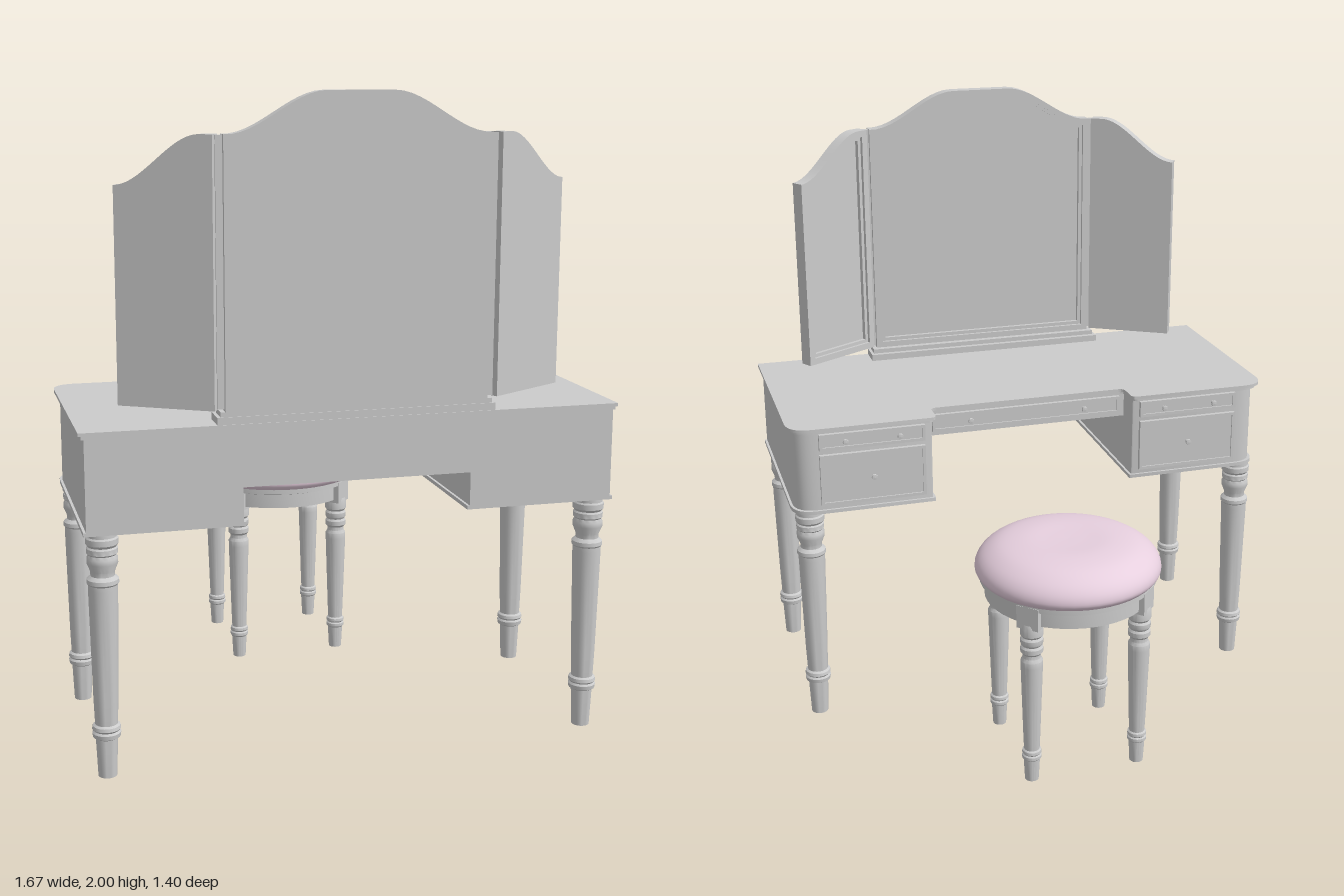
import * as THREE from 'three';
import { toCreasedNormals } from 'three/addons/utils/BufferGeometryUtils.js';

const grey = new THREE.MeshStandardMaterial({ color: 0xcccccc });
const pink = new THREE.MeshStandardMaterial({ color: 0xe6cfde });

function add(parent, name, geo, x = 0, y = 0, z = 0, mat = grey) {
  const m = new THREE.Mesh(geo, mat);
  m.name = name;
  m.position.set(x, y, z);
  parent.add(m);
  return m;
}
const box = (w, h, d) => new THREE.BoxGeometry(w, h, d);
const lathe = (pts, seg = 24) =>
  toCreasedNormals(new THREE.LatheGeometry(pts.map(p => new THREE.Vector2(...p)), seg), 0.6);

// Plan outline (x, z) with rounded corners, extruded downward. Points are [x, z, radius].
function slab(pts, depth) {
  const s = new THREE.Shape();
  const n = pts.length;
  pts.forEach(([x, z, r = 0], i) => {
    const toward = q => {
      const l = Math.hypot(q[0] - x, q[1] - z);
      return [x + (q[0] - x) * r / l, z + (q[1] - z) * r / l];
    };
    const a = toward(pts[(i + n - 1) % n]);
    const b = toward(pts[(i + 1) % n]);
    if (i) s.lineTo(...a); else s.moveTo(...a);
    if (r) s.quadraticCurveTo(x, z, ...b);
  });
  s.closePath();
  const g = new THREE.ExtrudeGeometry(s, { depth, bevelEnabled: false, curveSegments: 8 });
  return toCreasedNormals(g.rotateX(Math.PI / 2), 0.6);
}

const smooth = t => { t = Math.min(1, Math.max(0, t)); return t * t * (3 - 2 * t); };

// Framed mirror leaf with a curved top edge, its glass facing -z
function mirrorLeaf(name, x0, x1, y0, top) {
  const g = new THREE.Group();
  g.name = name;
  const outline = inset => {
    const a = x0 + inset * Math.sign(x1 - x0), b = x1 - inset * Math.sign(x1 - x0);
    const pts = [new THREE.Vector2(a, y0 + inset), new THREE.Vector2(b, y0 + inset)];
    for (let i = 0; i <= 32; i++) {
      const x = b + (a - b) * i / 32;
      pts.push(new THREE.Vector2(x, top(x) - inset));
    }
    return pts;
  };
  const extrude = (s, depth) =>
    toCreasedNormals(new THREE.ExtrudeGeometry(s, { depth, bevelEnabled: false }), 0.6);
  const ring = (o, i) => {
    const s = new THREE.Shape(outline(o));
    s.holes.push(new THREE.Path(outline(i)));
    return s;
  };
  add(g, 'mirrorBack', extrude(new THREE.Shape(outline(0)), 0.022));
  add(g, 'mirrorFrame', extrude(ring(0, 0.022), 0.023), 0, 0, -0.023);
  add(g, 'mirrorInnerFrame', extrude(ring(0.022, 0.034), 0.013), 0, 0, -0.013);
  return g;
}

// Drawer front with raised border and knobs, facing -z
function drawer(parent, x, y, z, w, h, knobs) {
  const g = new THREE.Group();
  g.name = 'drawer';
  g.position.set(x, y, z);
  add(g, 'drawerFront', box(w, h, 0.012));
  for (const s of [-1, 1]) {
    add(g, 'drawerRail', box(w, 0.01, 0.022), 0, s * (h / 2 - 0.005));
    add(g, 'drawerStile', box(0.01, h, 0.022), s * (w / 2 - 0.005));
  }
  const knob = lathe([[0, 0], [0.005, 0], [0.005, 0.01], [0.01, 0.014], [0.009, 0.02], [0, 0.023]], 12);
  knob.rotateX(-Math.PI / 2);
  for (const k of knobs) add(g, 'knob', knob, k, 0, -0.006);
  parent.add(g);
}

function buildTable() {
  const t = new THREE.Group();
  t.name = 'dressingTable';

  // Top with rounded front corners and a recessed middle
  const topPlan = e => [
    [-0.815 - e, 0.36], [0.815 + e, 0.36], [0.815 + e, -0.352 - e, 0.08], [0.35 - e, -0.352 - e, 0.02],
    [0.35 - e, -0.262 - e, 0.02], [-0.35 + e, -0.262 - e, 0.02], [-0.35 + e, -0.352 - e, 0.02],
    [-0.815 - e, -0.352 - e, 0.08]];
  add(t, 'tableTop', slab(topPlan(0.011), 0.01), 0, 1.055);
  add(t, 'tableTopMoulding', slab(topPlan(0.003), 0.01), 0, 1.045);

  // Pedestals with base lips, drawers and legs
  const legProfile = [[0, 0], [0.028, 0], [0.033, 0.12], [0.041, 0.125], [0.043, 0.138], [0.038, 0.144],
    [0.043, 0.15], [0.041, 0.16], [0.034, 0.165], [0.037, 0.25], [0.044, 0.58], [0.044, 0.595], [0.048, 0.6],
    [0.047, 0.612], [0.036, 0.622], [0.036, 0.635], [0.046, 0.66], [0.046, 0.675], [0.041, 0.685],
    [0.046, 0.69], [0.046, 0.705], [0.042, 0.71], [0.048, 0.718], [0.048, 0.735], [0.044, 0.74], [0.044, 0.757]];
  const leg = lathe(legProfile);
  for (const s of [-1, 1]) {
    const plan = e => [[s * (0.35 - e), 0.36], [s * (0.81 + e), 0.36],
      [s * (0.81 + e), -0.335 - e, 0.08], [s * (0.35 - e), -0.335 - e, 0.005]];
    add(t, 'pedestal', slab(plan(0), 0.275), 0, 1.036);
    add(t, 'pedestalLip', slab(plan(0.008), 0.012), 0, 0.763);
    drawer(t, s * 0.55, 1.0, -0.338, 0.35, 0.055, [-0.09, 0.09]);
    drawer(t, s * 0.55, 0.868, -0.338, 0.35, 0.175, [0]);
    add(t, 'frontLeg', leg, s * 0.76, 0, -0.295);
    add(t, 'backLeg', leg, s * 0.76, 0, 0.315);
  }

  // Middle section over the knee space
  add(t, 'backPanel', box(0.71, 0.17, 0.02), 0, 0.952, 0.35);
  add(t, 'middleDrawerBox', box(0.71, 0.09, 0.59), 0, 0.993, 0.047);
  drawer(t, 0, 0.994, -0.25, 0.66, 0.06, [-0.2, 0.2]);

  // Three-part mirror on its plinth
  add(t, 'mirrorPlinth', box(0.85, 0.022, 0.085), 0, 1.066, 0.315);
  add(t, 'mirrorPlinthTop', box(0.83, 0.016, 0.065), 0, 1.084, 0.322);
  const centre = mirrorLeaf('centreMirror', -0.4, 0.4, 1.09, x => 1.88 + 0.12 * smooth((0.39 - Math.abs(x)) / 0.29));
  centre.position.z = 0.333;
  t.add(centre);
  for (const s of [-1, 1]) {
    const wing = mirrorLeaf('sideMirror', 0, s * 0.3, 1.095,
      x => 1.88 - 0.145 * smooth((Math.abs(x) - 0.04) / 0.26));
    wing.position.set(s * 0.42, 0, 0.333);
    wing.rotation.y = s * 0.54;
    t.add(wing);
    add(t, 'mirrorHinge', box(0.024, 0.78, 0.016), s * 0.409, 1.488, 0.333);
  }
  return t;
}

function buildStool() {
  const g = new THREE.Group();
  g.name = 'stool';
  // Padded seat
  const seat = new THREE.SplineCurve([[0.283, 0.625], [0.298, 0.645], [0.292, 0.675], [0.265, 0.705],
    [0.215, 0.73], [0.14, 0.741], [0.06, 0.739], [0, 0.738]].map(p => new THREE.Vector2(...p))).getPoints(28);
  seat[28].x = 0;
  add(g, 'cushion', new THREE.LatheGeometry(seat, 48), 0, 0, 0, pink);
  // Hollow apron ring with a moulding under the cushion
  add(g, 'apron', lathe([[0, 0.61], [0.235, 0.61], [0.235, 0.557], [0.268, 0.557], [0.268, 0.605],
    [0.284, 0.61], [0.284, 0.628], [0, 0.628]], 48));
  // Legs under corner blocks
  const leg = lathe([[0, 0], [0.022, 0], [0.026, 0.075], [0.031, 0.08], [0.031, 0.09], [0.027, 0.094],
    [0.031, 0.099], [0.03, 0.108], [0.025, 0.112], [0.027, 0.16], [0.035, 0.41], [0.035, 0.43], [0.029, 0.44],
    [0.029, 0.452], [0.036, 0.46], [0.036, 0.475], [0.031, 0.482], [0.036, 0.49], [0.036, 0.505],
    [0.031, 0.512], [0.037, 0.52], [0.037, 0.545], [0.033, 0.56]], 20);
  for (let i = 0; i < 4; i++) {
    const a = Math.PI / 4 + i * Math.PI / 2;
    const x = Math.cos(a), z = Math.sin(a);
    add(g, 'stoolLeg', leg, 0.253 * x, 0, 0.253 * z);
    add(g, 'legBlock', box(0.062, 0.075, 0.075), 0.253 * x, 0.584, 0.253 * z).rotation.y = -a;
  }
  return g;
}

export function createModel() {
  const model = new THREE.Group();
  model.name = 'dressingTableAndStool';
  const table = buildTable();
  table.position.set(-0.005, 0, 0.322);
  table.rotation.y = -0.021;
  const stool = buildStool();
  stool.position.set(0.015, 0, -0.405);
  model.add(table, stool);
  return model;
}
